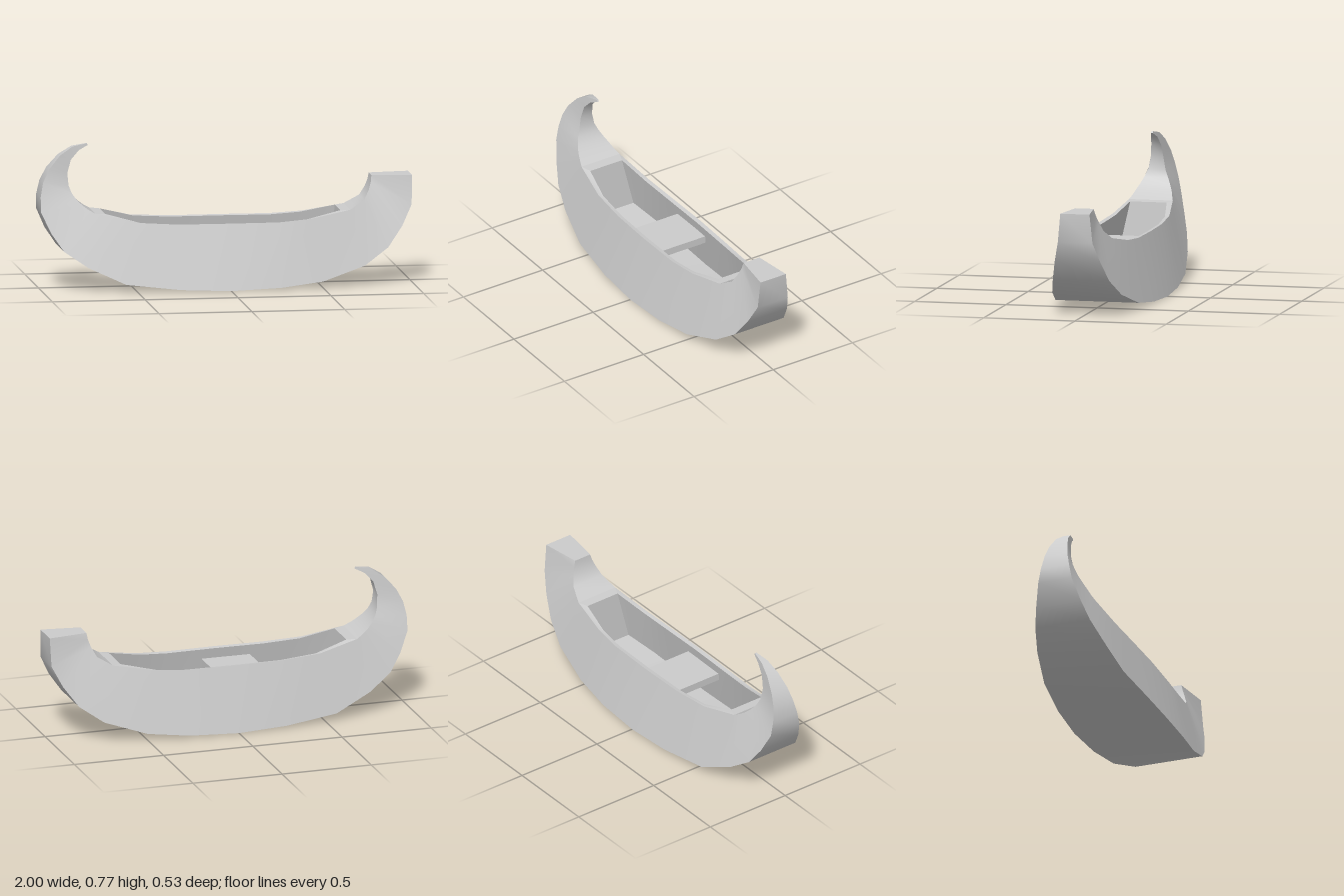
import * as THREE from 'three';

// Hull stations, bow to stern: keel x, y, half width, then gunwale x, y, half width
const STATIONS = [
  [-0.74, 0.775, 0.005, -0.735, 0.765, 0.005],
  [-0.82, 0.76, 0.02, -0.785, 0.74, 0.017],
  [-0.89, 0.715, 0.035, -0.83, 0.69, 0.027],
  [-0.95, 0.645, 0.052, -0.85, 0.62, 0.035],
  [-0.985, 0.575, 0.065, -0.845, 0.555, 0.047],
  [-1, 0.5, 0.08, -0.83, 0.515, 0.065],
  [-1, 0.42, 0.095, -0.805, 0.48, 0.083],
  [-0.95, 0.31, 0.125, -0.775, 0.452, 0.098],
  [-0.885, 0.215, 0.155, -0.745, 0.43, 0.108],
  [-0.76, 0.13, 0.19, -0.71, 0.41, 0.12],
  [-0.56, 0.04, 0.225, -0.49, 0.362, 0.155],
  [-0.27, 0.01, 0.255, -0.27, 0.35, 0.17],
  [0, 0, 0.265, 0, 0.35, 0.175],
  [0.27, 0.01, 0.255, 0.27, 0.35, 0.17],
  [0.5, 0.035, 0.228, 0.44, 0.362, 0.155],
  [0.73, 0.11, 0.19, 0.66, 0.402, 0.122],
  [0.86, 0.2, 0.155, 0.74, 0.45, 0.095],
  [0.94, 0.31, 0.125, 0.767, 0.5, 0.075],
  [0.995, 0.42, 0.095, 0.78, 0.54, 0.06],
  [1, 0.575, 0.08, 0.785, 0.575, 0.05],
];
const WELL_START = 9, WELL_END = 15;

const material = new THREE.MeshStandardMaterial({ color: 0xcccccc });

// Smooth ribbon between two rails of equal length
function strip(name, a, b) {
  const positions = [], index = [];
  a.forEach((p, i) => {
    positions.push(...p, ...b[i]);
    if (i) {
      const k = 2 * i - 2;
      index.push(k, k + 1, k + 2, k + 1, k + 3, k + 2);
    }
  });
  const geometry = new THREE.BufferGeometry();
  geometry.setAttribute('position', new THREE.Float32BufferAttribute(positions, 3));
  geometry.setIndex(index);
  geometry.computeVertexNormals();
  const mesh = new THREE.Mesh(geometry, material);
  mesh.name = name;
  return mesh;
}

// Left (+z) and right (-z) copies of an edge given as [x, y, half width]
const pair = (edge) => ({ l: edge, r: edge.map(([x, y, z]) => [x, y, -z]) });

export function createModel() {
  const boat = new THREE.Group();
  boat.name = 'boat';

  const keel = pair(STATIONS.map((s) => s.slice(0, 3)));
  const top = pair(STATIONS.map((s) => s.slice(3)));
  const last = STATIONS.length - 1;

  // Outer shell
  const hull = new THREE.Group();
  hull.name = 'hull';
  hull.add(
    strip('leftSide', top.l, keel.l),
    strip('bottom', keel.l, keel.r),
    strip('rightSide', keel.r, top.r),
    strip('bowCurl', top.r.slice(0, WELL_START + 1), top.l.slice(0, WELL_START + 1)),
    strip('sternRise', top.r.slice(WELL_END), top.l.slice(WELL_END)),
    strip('bowTip', [keel.r[0], top.r[0]], [keel.l[0], top.l[0]]),
    strip('sternTop', [top.r[last], keel.r[last]], [top.l[last], keel.l[last]]),
  );
  boat.add(hull);

  // Rim around the well, then the well's flared walls and floor
  const rim = pair(top.l.slice(WELL_START, WELL_END + 1));
  const lipX = [-0.655, -0.47, -0.27, 0, 0.27, 0.425, 0.61];
  const lipWidth = [0.1, 0.135, 0.148, 0.152, 0.148, 0.135, 0.1];
  const lip = pair(lipX.map((x, i) => [x, rim.l[i][1] - 0.004, lipWidth[i]]));
  const floor = pair(lipX.map((x, i) => [x * 0.97, 0.06 + 0.16 * x * x, lipWidth[i] + 0.06]));
  const n = lipX.length - 1;

  const gunwale = new THREE.Group();
  gunwale.name = 'gunwale';
  gunwale.add(
    strip('leftRim', lip.l, rim.l),
    strip('rightRim', rim.r, lip.r),
    strip('bowRim', [rim.r[0], lip.r[0]], [rim.l[0], lip.l[0]]),
    strip('sternRim', [lip.r[n], rim.r[n]], [lip.l[n], rim.l[n]]),
  );
  boat.add(gunwale);

  const well = new THREE.Group();
  well.name = 'well';
  well.add(
    strip('leftWall', floor.l, lip.l),
    strip('rightWall', lip.r, floor.r),
    strip('floor', floor.r, floor.l),
    strip('bowWall', [lip.r[0], floor.r[0]], [lip.l[0], floor.l[0]]),
    strip('sternWall', [floor.r[n], lip.r[n]], [floor.l[n], lip.l[n]]),
  );
  boat.add(well);

  // Bench across the middle
  const seat = new THREE.Mesh(new THREE.BoxGeometry(0.27, 0.04, 0.33), material);
  seat.name = 'seat';
  seat.position.set(-0.065, 0.27, 0);
  boat.add(seat);

  return boat;
}
